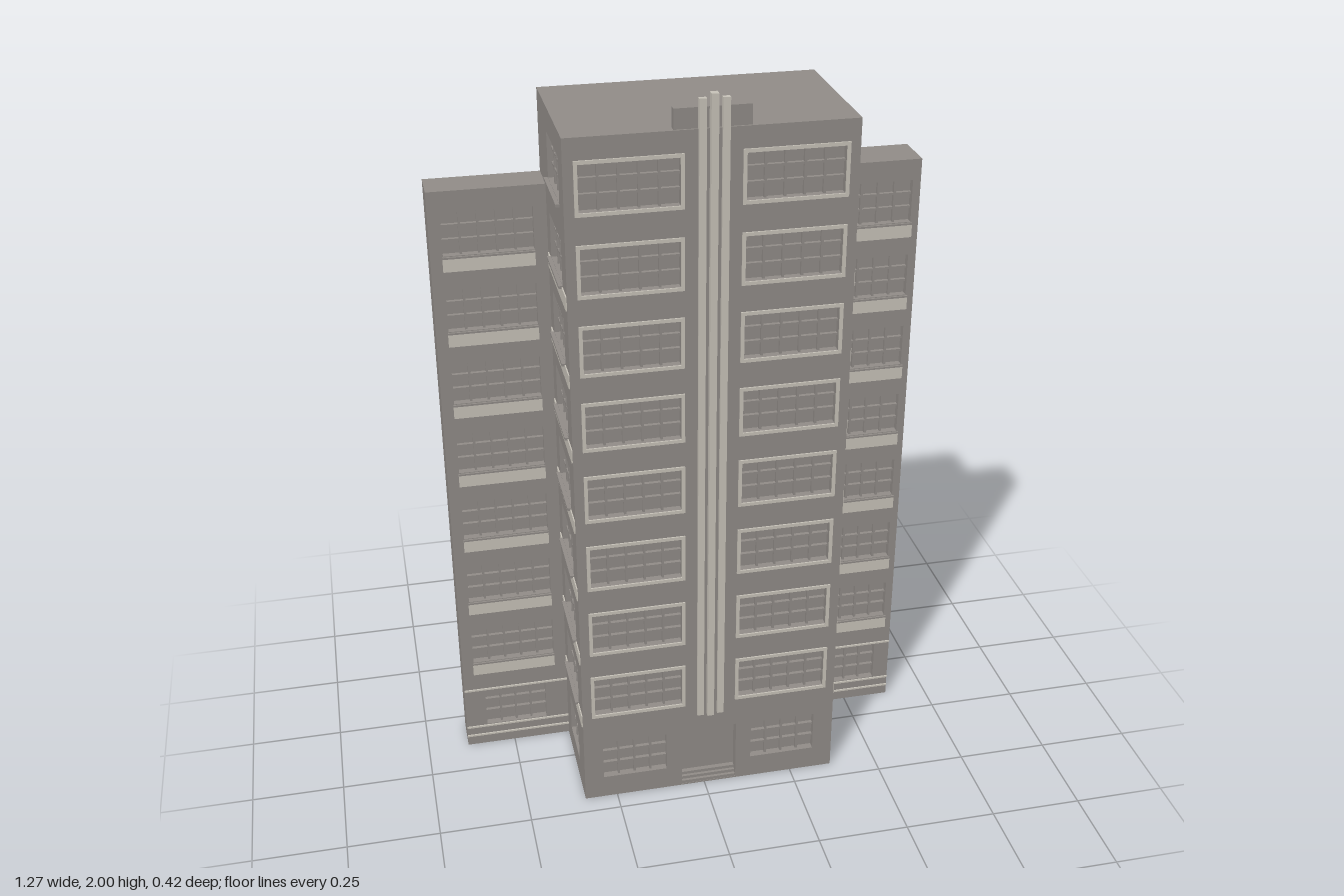
import * as THREE from 'three';

const wallMat = new THREE.MeshStandardMaterial({ color: 0x938e8a });
wallMat.name = 'grey masonry';
const trimMat = new THREE.MeshStandardMaterial({ color: 0xcac5bb });
trimMat.name = 'pale trim';

const STEP = 0.2067; // storey height
const D = 0.03; // facade thickness
const GLASS = 0.02; // window recess

// Box given by its limits on each axis
function box(parent, name, mat, x0, x1, y0, y1, z0, z1) {
  const m = new THREE.Mesh(new THREE.BoxGeometry(x1 - x0, y1 - y0, z1 - z0), mat);
  m.position.set((x0 + x1) / 2, (y0 + y1) / 2, (z0 + z1) / 2);
  m.name = name;
  parent.add(m);
  return m;
}

function rectPath(path, [a, b, c, d]) {
  path.moveTo(a, c);
  path.lineTo(b, c);
  path.lineTo(b, d);
  path.lineTo(a, d);
  path.closePath();
  return path;
}

// Flat wall in its own frame: x along the wall, z outward, pierced by [x0, x1, y0, y1] openings
function facade(name, x0, x1, height, windows, door) {
  const g = new THREE.Group();
  g.name = name;
  const shape = rectPath(new THREE.Shape(), [x0, x1, 0, height]);
  for (const w of windows) shape.holes.push(rectPath(new THREE.Path(), w));
  if (door) shape.holes.push(rectPath(new THREE.Path(), door));
  const geo = new THREE.ExtrudeGeometry(shape, { depth: D, bevelEnabled: false });
  geo.translate(0, 0, -D);
  const wall = new THREE.Mesh(geo, wallMat);
  wall.name = 'piercedWall';
  g.add(wall);
  for (const w of windows) addWindow(g, w);
  return g;
}

// Recessed pane with glazing bars
function addWindow(parent, [a, b, c, d]) {
  const g = new THREE.Group();
  g.name = 'window';
  parent.add(g);
  box(g, 'pane', wallMat, a, b, c, d, -D, -GLASS);
  const cols = b - a > 0.2 ? 5 : 4, rows = 3, t = 0.003;
  for (let i = 1; i < cols; i++) {
    const x = a + ((b - a) * i) / cols;
    box(g, 'verticalBar', wallMat, x - t, x + t, c, d, -GLASS, -0.009);
  }
  for (let j = 1; j < rows; j++) {
    const y = c + ((d - c) * j) / rows;
    box(g, 'horizontalBar', wallMat, a, b, y - t, y + t, -GLASS, -0.01);
  }
}

// Thin raised surround of a window
function addFrame(parent, [a, b, c, d]) {
  const t = 0.009;
  const shape = rectPath(new THREE.Shape(), [a - t, b + t, c - t, d + t]);
  shape.holes.push(rectPath(new THREE.Path(), [a, b, c, d]));
  const m = new THREE.Mesh(new THREE.ExtrudeGeometry(shape, { depth: 0.004, bevelEnabled: false }), trimMat);
  m.name = 'windowFrame';
  parent.add(m);
}

// The same opening repeated up the storeys
function column(x0, x1, y0, y1, count) {
  return Array.from({ length: count }, (_, i) => [x0, x1, y0 + i * STEP, y1 + i * STEP]);
}

// Pale bands below the windows of the lower seven upper storeys
function addBands(parent, x0, x1) {
  for (let i = 0; i < 7; i++) {
    const y = 0.247 + i * STEP;
    box(parent, 'spandrelBand', trimMat, x0, x1, y, y + 0.037, 0, 0.003);
  }
}

export function createModel() {
  const model = new THREE.Group();
  model.name = 'apartmentBlock';
  const H = 1.915, L = -0.34, R = 0.37, B = -0.21, F = 0.195;

  // Central tower
  box(model, 'towerCore', wallMat, L + D, R - D, 0, H, B, F - D);
  const upper = [...column(-0.306, -0.064, 0.286, 0.404, 8), ...column(0.094, 0.336, 0.286, 0.404, 8)];
  const ground = [[-0.287, -0.108, 0.067, 0.187], [0.133, 0.315, 0.067, 0.187]];
  const front = facade('towerFront', L, R, H, [...upper, ...ground], [-0.065, 0.09, 0.004, 0.19]);
  front.position.z = F;
  upper.forEach((w) => addFrame(front, w));
  model.add(front);

  // Entrance steps
  for (let i = 0; i < 3; i++) {
    box(front, 'entranceStep', wallMat, -0.064, 0.089, 0.004 + i * 0.009, 0.013 + i * 0.009, -D, -0.001 - i * 0.008);
  }

  // Side walls of the tower
  for (const side of [1, -1]) {
    // Limits along z, turned into the wall's own x
    const span = (z0, z1) => (side > 0 ? [-z1, -z0] : [z0, z1]);
    const shift = side > 0 ? 0 : -0.025;
    const wins = [
      ...column(...span(-0.032 + shift, 0.152 + shift), 0.288, 0.404, 8),
      [...span(-0.02 + shift, 0.127 + shift), 0.067, 0.184],
    ];
    const wall = facade(side > 0 ? 'towerLeftSide' : 'towerRightSide', ...span(B, F - D), H, wins);
    wall.rotation.y = (side * Math.PI) / 2;
    wall.position.x = side > 0 ? R : L;
    addBands(wall, ...span(side > 0 ? -0.08 : -0.1, 0.19));
    const sill = span(-0.04 + shift, 0.154 + shift);
    for (let i = 0; i < 8; i++) {
      const y = 0.28 + i * STEP;
      box(wall, 'windowSill', wallMat, ...sill, y, y + 0.007, 0, 0.01);
    }
    model.add(wall);
  }

  // Lower wings, set back on both sides
  const wings = [
    { name: 'leftWing', x0: R, x1: 0.632, z: -0.09, win: [0.388, 0.611], low: [0.412, 0.587], band: [0.386, 0.615] },
    { name: 'rightWing', x0: -0.636, x1: L, z: -0.112, win: [-0.604, -0.374], low: [-0.577, -0.403], band: [-0.606, -0.373] },
  ];
  for (const w of wings) {
    const g = new THREE.Group();
    g.name = w.name;
    box(g, 'wingCore', wallMat, w.x0, w.x1, 0, 1.7, B, w.z - D);
    const wall = facade('wingFront', w.x0, w.x1, 1.7,
      [...column(...w.win, 0.289, 0.404, 7), [...w.low, 0.067, 0.185]]);
    wall.position.z = w.z;
    addBands(wall, ...w.band);
    for (let i = 0; i < 7; i++) {
      const y = 0.282 + i * STEP;
      box(wall, 'windowSill', wallMat, ...w.band, y, y + 0.005, 0, 0.005);
    }
    // Thin courses around the ground floor
    for (const y of [0.03, 0.06, 0.19]) {
      box(wall, 'stringCourse', trimMat, w.x0, w.x1, y, y + 0.005, 0, 0.004);
    }
    g.add(wall);
    model.add(g);
  }

  // Vertical fins and the roof crown
  const fins = [[-0.022, -0.004, 1.988, 0.203], [0.005, 0.023, 2, 0.21], [0.034, 0.052, 1.988, 0.203]];
  for (const [x0, x1, top, z] of fins) {
    box(model, 'facadeFin', trimMat, x0, x1, 0.243, top, F - 0.005, z);
  }
  box(model, 'roofCrown', wallMat, -0.08, 0.107, H, 1.965, 0.172, 0.19);

  return model;
}
